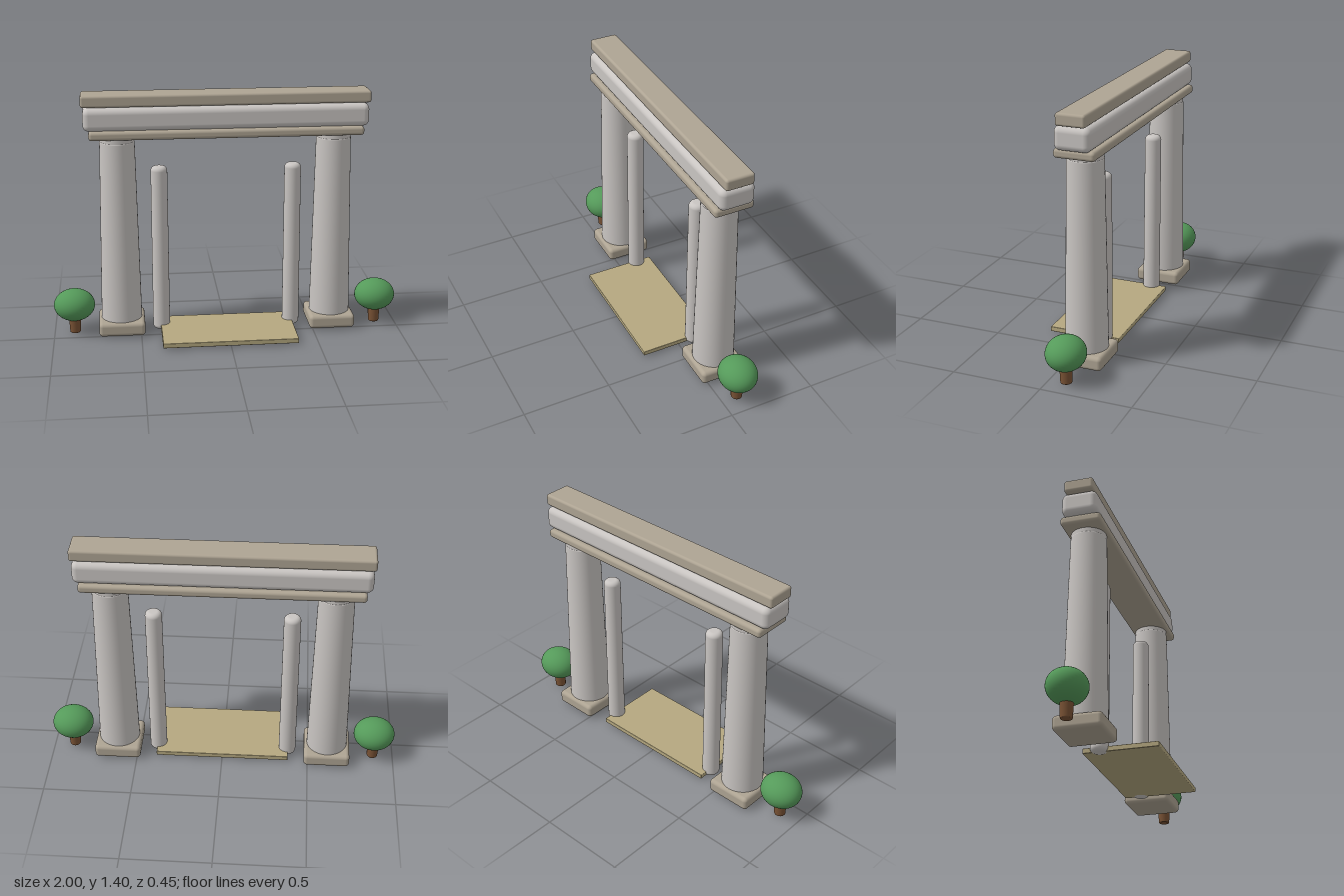
import * as THREE from 'three';
import { RoundedBoxGeometry } from 'three/addons/geometries/RoundedBoxGeometry.js';

const Z = -0.094; // plane shared by columns, beams, posts and trees
const mat = (color) => new THREE.MeshStandardMaterial({ color });
const STONE = mat(0xc9c5c2), TRIM = mat(0xaea493), PATH = mat(0xb5a880);
const LEAF = mat(0x559a5a), BARK = mat(0x7a5335);

function add(parent, name, geometry, material, x, y, z) {
  const mesh = new THREE.Mesh(geometry, material);
  mesh.name = name;
  mesh.position.set(x, y, z);
  parent.add(mesh);
  return mesh;
}

// Box with rounded edges, given by its bottom and top heights
function slab(parent, name, w, y0, y1, d, r, material, x, z) {
  return add(parent, name, new RoundedBoxGeometry(w, y1 - y0, d, 4, r), material, x, (y0 + y1) / 2, z);
}

// Turned solid with softly rounded rims
function turned(r0, r1, y0, y1, bevel) {
  const pts = [new THREE.Vector2(0, y0)];
  for (let i = 0; i <= 6; i++) {
    const a = (i / 6) * Math.PI / 2;
    pts.push(new THREE.Vector2(r0 - bevel + bevel * Math.sin(a), y0 + bevel - bevel * Math.cos(a)));
  }
  for (let i = 0; i <= 6; i++) {
    const a = (i / 6) * Math.PI / 2;
    pts.push(new THREE.Vector2(r1 - bevel + bevel * Math.cos(a), y1 - bevel + bevel * Math.sin(a)));
  }
  pts.push(new THREE.Vector2(0, y1));
  return new THREE.LatheGeometry(pts, 40);
}

export function createModel() {
  const model = new THREE.Group();
  model.name = 'gateway';

  for (const [side, s] of [['left', 1], ['right', -1]]) {
    // Main column on its plinth
    const column = new THREE.Group();
    column.name = side + 'Column';
    column.position.set(s * 0.61, 0, Z);
    slab(column, 'plinth', 0.265, 0.01, 0.09, 0.264, 0.022, TRIM, 0, 0);
    add(column, 'shaft', turned(0.117, 0.098, 0.07, 1.138, 0.008), STONE, 0, 0, 0);
    add(column, 'neck', turned(0.096, 0.096, 1.12, 1.175, 0.012), STONE, 0, 0, 0);
    model.add(column);

    // Slim inner post
    add(model, side + 'Post', turned(0.049, 0.047, 0.006, 0.985, 0.026), STONE, s * 0.38, 0, Z);

    // Small round tree
    const tree = new THREE.Group();
    tree.name = side + 'Tree';
    tree.position.set(s * 0.882, 0, Z);
    add(tree, 'trunk', turned(0.031, 0.036, 0, 0.12, 0.005), BARK, 0, 0, 0);
    add(tree, 'crown', new THREE.SphereGeometry(1, 40, 24), LEAF, 0, 0.168, 0).scale.set(0.118, 0.093, 0.107);
    model.add(tree);
  }

  // Stacked beams across the top
  slab(model, 'lowerBeam', 1.53, 1.16, 1.21, 0.225, 0.018, TRIM, 0, Z);
  slab(model, 'middleBeam', 1.59, 1.207, 1.335, 0.198, 0.034, STONE, 0, Z);
  slab(model, 'topBeam', 1.61, 1.338, 1.405, 0.161, 0.014, TRIM, 0, Z);

  // Path slab between the posts
  slab(model, 'path', 0.77, 0.01, 0.038, 0.41, 0.004, PATH, 0, 0.02);

  return model;
}
